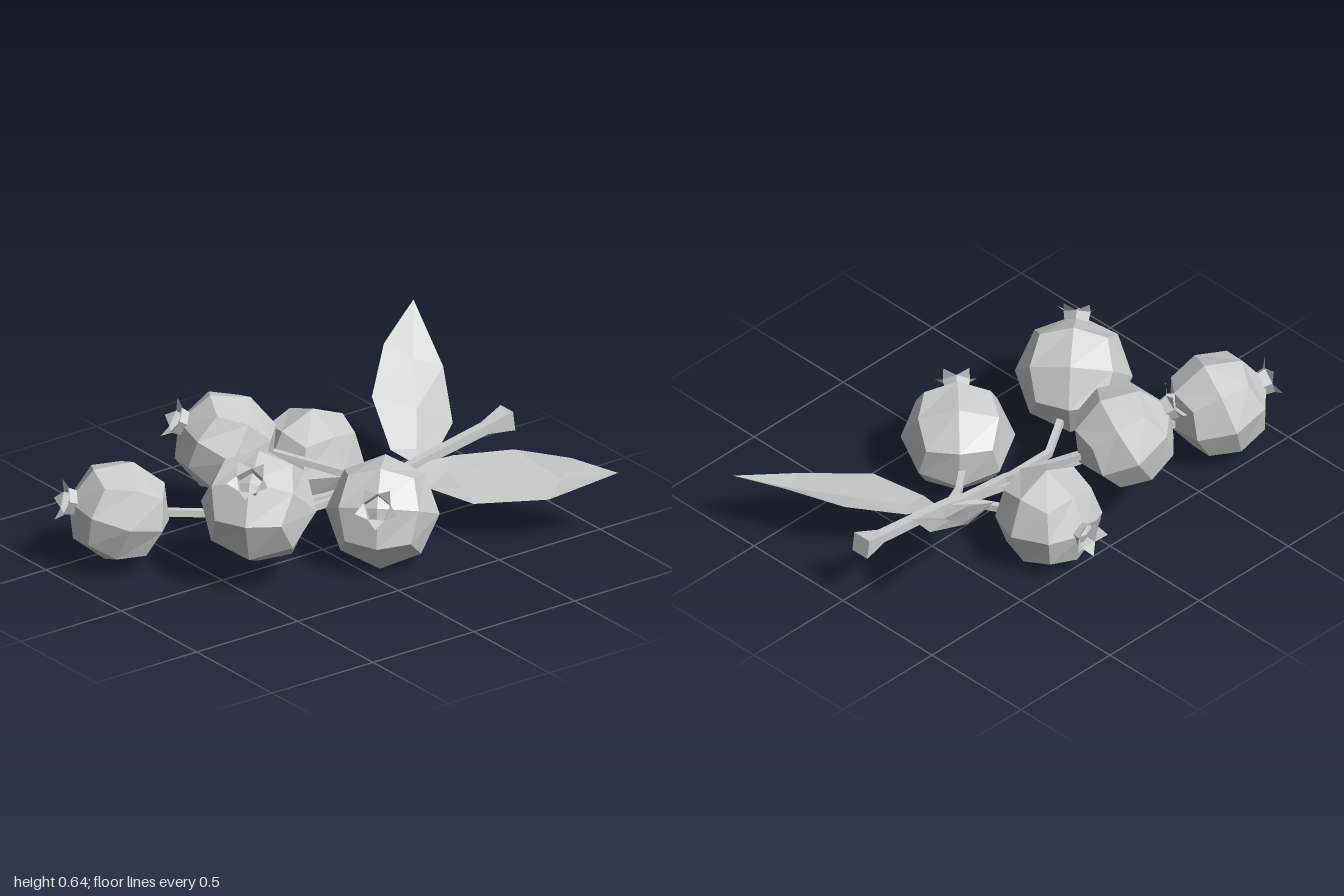
import * as THREE from 'three';

const V = (a) => new THREE.Vector3(...a);
const grey = new THREE.MeshStandardMaterial({ color: 0xcccccc, flatShading: true });
const thin = new THREE.MeshStandardMaterial({ color: 0xcccccc, flatShading: true, side: THREE.DoubleSide });

function mesh(name, geometry, material = grey) {
  const m = new THREE.Mesh(geometry, material);
  m.name = name;
  return m;
}

function trianglesGeometry(points) {
  const g = new THREE.BufferGeometry().setFromPoints(points);
  g.computeVertexNormals();
  return g;
}

// Box with 2 x 2 quads per side, pushed out to a ball
function berryGeometry(radius) {
  const g = new THREE.BoxGeometry(1, 1, 1, 2, 2, 2);
  const p = g.attributes.position, v = new THREE.Vector3();
  for (let i = 0; i < p.count; i++) {
    v.fromBufferAttribute(p, i).setLength(radius);
    p.setXYZ(i, v.x, v.y, v.z);
  }
  g.computeVertexNormals();
  return g;
}

// Short five-sided collar with flared pointed sepals, opening along +z
function crownGeometry(radius) {
  const n = 5, tris = [];
  const at = (i, r, z) => {
    const a = (i / n) * Math.PI * 2 + Math.PI / 2;
    return new THREE.Vector3(Math.cos(a) * r, Math.sin(a) * r, radius + z);
  };
  for (let i = 0; i < n; i++) {
    const a = at(i, 0.05, -0.03), b = at(i + 1, 0.05, -0.03);
    const c = at(i + 1, 0.057, 0.012), d = at(i, 0.057, 0.012);
    tris.push(a, b, c, a, c, d, d, c, at(i + 0.5, 0.088, 0.035));
  }
  return trianglesGeometry(tris);
}

function makeBerry(position, direction, radius) {
  const berry = new THREE.Group();
  berry.name = 'berry';
  berry.add(mesh('berryBody', berryGeometry(radius)), mesh('berryCrown', crownGeometry(radius), thin));
  berry.position.set(...position);
  berry.lookAt(V(position).add(V(direction)));
  return berry;
}

// Four-sided stalk through points [x, y, z, radius], as one swept skin
function stalkGeometry(path) {
  const pts = path.map((p) => V(p.slice(0, 3)));
  const rings = pts.map((p, i) => {
    const t = pts[Math.min(i + 1, pts.length - 1)].clone().sub(pts[Math.max(i - 1, 0)]).normalize();
    const side = new THREE.Vector3(0, 1, 0).cross(t).normalize();
    const up = t.clone().cross(side);
    return [[1, 1], [-1, 1], [-1, -1], [1, -1]].map(([a, b]) =>
      p.clone().addScaledVector(side, a * path[i][3]).addScaledVector(up, b * path[i][3]));
  });
  const tris = [];
  for (let i = 0; i < rings.length - 1; i++) {
    for (let k = 0; k < 4; k++) {
      const j = (k + 1) % 4, a = rings[i], b = rings[i + 1];
      tris.push(a[k], a[j], b[j], a[k], b[j], b[k]);
    }
  }
  const s = rings[0], e = rings[rings.length - 1];
  tris.push(s[0], s[2], s[1], s[0], s[3], s[2], e[0], e[1], e[2], e[0], e[2], e[3]);
  return trianglesGeometry(tris);
}

// Leaf skin between two edges and a midrib; all run from base to tip
function leafGeometry(left, rib, right) {
  const tris = [];
  for (const [u, w] of [[left, rib], [rib, right]]) {
    for (let i = 0; i < rib.length - 1; i++) {
      const a = V(u[i]), b = V(w[i]), c = V(w[i + 1]), d = V(u[i + 1]);
      tris.push(a, b, c, a, c, d);
    }
  }
  return trianglesGeometry(tris);
}

export function createModel() {
  const model = new THREE.Group();
  model.name = 'berrySprig';

  // Berries: centre, crown direction, radius
  const berries = [
    [[-0.375, 0.225, -0.22], [-1, 0.06, 0], 0.213],
    [[-0.38, 0.4, 0.2], [-0.1, 0.11, 0.18], 0.213],
    [[-0.365, 0.25, 0.74], [-0.085, 0.06, 0.19], 0.213],
    [[0.235, 0.23, -0.12], [0.16, 0.11, 0.15], 0.228],
    [[0.095, 0.34, 0.39], [0.11, 0.18, 0.13], 0.235],
  ];
  for (const b of berries) model.add(makeBerry(...b));

  // Main stem, flared at the cut end
  model.add(mesh('mainStem', stalkGeometry([
    [-0.065, 0.305, -0.965, 0.042], [-0.065, 0.29, -0.85, 0.02],
    [-0.05, 0.235, -0.5, 0.018], [-0.05, 0.21, -0.38, 0.02],
  ])));

  // One thin branch to each berry
  const branches = [
    [[-0.05, 0.22, -0.46], [-0.12, 0.2, -0.34], [-0.25, 0.2, -0.27]],
    [[-0.05, 0.22, -0.46], [-0.11, 0.25, -0.2], [-0.3, 0.34, 0.04]],
    [[-0.05, 0.22, -0.46], [-0.1, 0.18, -0.1], [-0.17, 0.165, 0.22], [-0.31, 0.22, 0.58]],
    [[-0.05, 0.22, -0.46], [0.01, 0.2, -0.34], [0.12, 0.2, -0.2]],
    [[-0.05, 0.22, -0.46], [-0.055, 0.18, -0.1], [-0.055, 0.18, 0.1], [0.02, 0.24, 0.25]],
  ];
  for (const path of branches) {
    model.add(mesh('branch', stalkGeometry(path.map((p) => [...p, 0.014]))));
  }

  // Two creased leaves at the top of the sprig
  const base = [-0.055, 0.23, -0.5];
  const tipL = [0.62, 0.3, -1], tipR = [-0.585, 0.655, -0.885];
  model.add(mesh('leftLeaf', leafGeometry(
    [base, [0, 0.25, -0.645], [0.17, 0.29, -0.82], [0.41, 0.31, -0.925], tipL],
    [base, [0.06, 0.225, -0.57], [0.24, 0.23, -0.69], [0.45, 0.25, -0.85], tipL],
    [base, [0.09, 0.19, -0.455], [0.33, 0.195, -0.5], [0.52, 0.22, -0.73], tipL],
  ), thin));
  model.add(mesh('rightLeaf', leafGeometry(
    [base, [-0.155, 0.27, -0.45], [-0.345, 0.42, -0.5], [-0.48, 0.56, -0.66], tipR],
    [base, [-0.13, 0.255, -0.56], [-0.25, 0.36, -0.65], [-0.42, 0.49, -0.76], tipR],
    [base, [-0.06, 0.24, -0.6], [-0.11, 0.33, -0.725], [-0.34, 0.46, -0.85], tipR],
  ), thin));

  return model;
}
